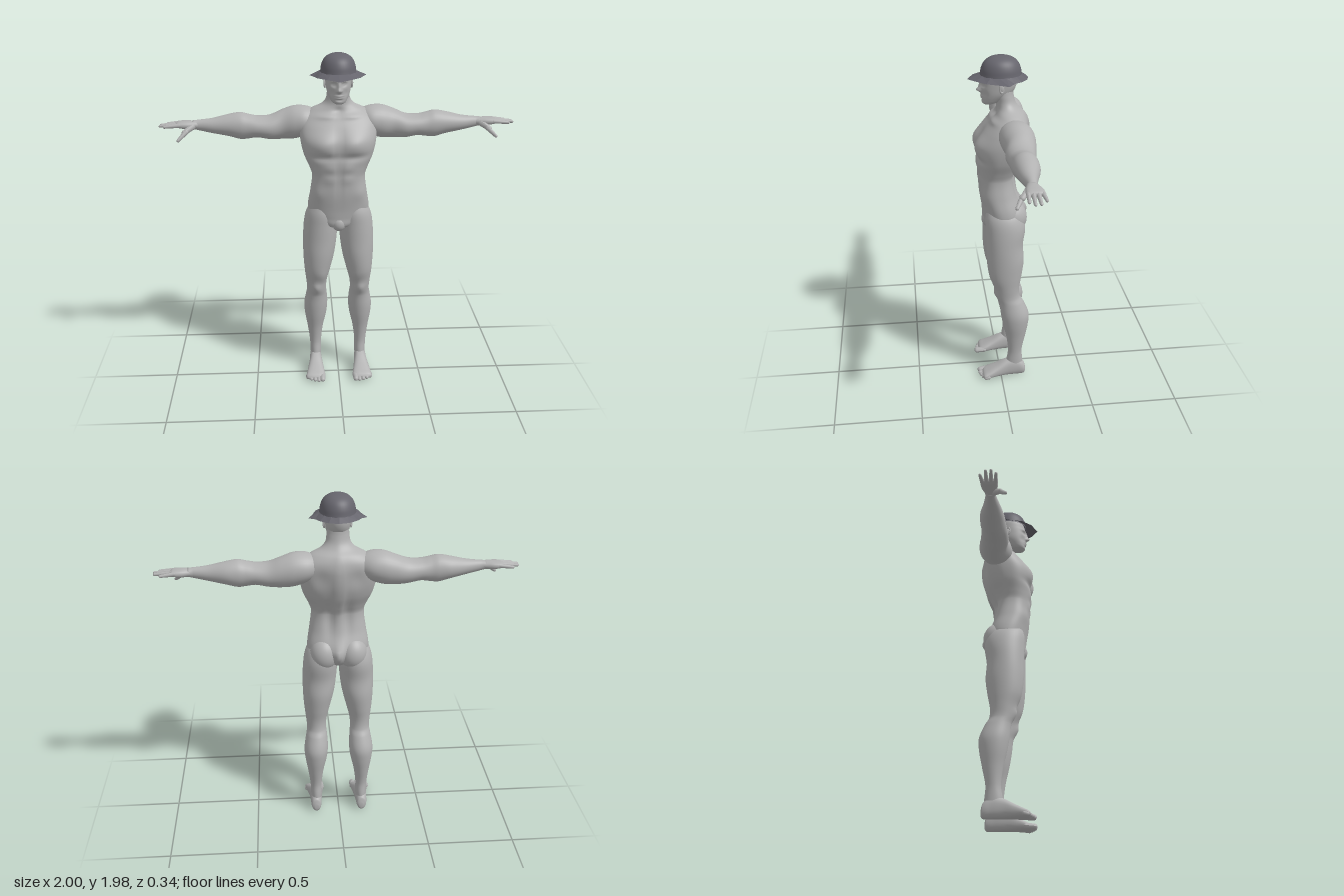
import * as THREE from 'three';

const skin = new THREE.MeshStandardMaterial({ color: 0xb2b2b2 });
skin.name = 'body grey';
const steel = new THREE.MeshStandardMaterial({ color: 0x66656d, side: THREE.DoubleSide });
steel.name = 'helmet grey';

// Axis maps from (u, t, v) to x, y, z; all keep the same handedness
const MAP = {
  y: (u, t, v) => [u, t, v],
  x: (u, t, v) => [t, v, u],
  z: (u, t, v) => [v, u, t],
};

// Smooth loft. Station: [t, uMin, uMax, vMin, vMax, squareness]
// Bumps: [|x|, y, height, spreadX, spreadY] on the front or back of a y loft
function loft(axis, stations, { seg = 32, sub = 5, front = [], back = [] } = {}) {
  const pos = [], idx = [], n = stations.length;
  const at = (i) => stations[Math.min(n - 1, Math.max(0, i))];
  const rings = (n - 1) * sub + 1;
  for (let r = 0; r < rings; r++) {
    const i = Math.min(n - 2, Math.floor(r / sub)), f = r / sub - i;
    const [t, u0, u1, v0, v1, p] = [0, 1, 2, 3, 4, 5].map((k) => {
      const [a, b, c, d] = [-1, 0, 1, 2].map((o) => at(i + o)[k] ?? 2);
      if (k === 0) return b + (c - b) * f;
      const h = c - b;
      const m0 = (at(i + 1)[0] - at(i - 1)[0]), m1 = (at(i + 2)[0] - at(i)[0]);
      const w = at(i + 1)[0] - at(i)[0];
      const s0 = ((c - a) / m0) * w, s1 = ((d - b) / m1) * w;
      return b + f * s0 + f * f * (3 * h - 2 * s0 - s1) + f * f * f * (s0 + s1 - 2 * h);
    });
    for (let j = 0; j < seg; j++) {
      const a = (j / seg) * Math.PI * 2, c = Math.cos(a), s = Math.sin(a);
      const u = (u0 + u1) / 2 + ((u1 - u0) / 2) * Math.sign(c) * Math.abs(c) ** (2 / p);
      let v = (v0 + v1) / 2 + ((v1 - v0) / 2) * Math.sign(s) * Math.abs(s) ** (2 / p);
      for (const [bx, by, h, sx, sy] of s > 0 ? front : back) {
        const g = Math.exp(-(((Math.abs(u) - bx) / sx) ** 2) - ((t - by) / sy) ** 2);
        v += h * g * s;
      }
      pos.push(...MAP[axis](u, t, v));
    }
  }
  for (let r = 0; r < rings - 1; r++) for (let j = 0; j < seg; j++) {
    const a = r * seg + j, b = r * seg + ((j + 1) % seg);
    idx.push(a, a + seg, b, b, a + seg, b + seg);
  }
  // End caps
  for (const [row, end] of [[0, at(0)], [rings - 1, at(n - 1)]]) {
    const centre = pos.length / 3;
    pos.push(...MAP[axis]((end[1] + end[2]) / 2, end[0], (end[3] + end[4]) / 2));
    for (let j = 0; j < seg; j++) {
      const a = row * seg + j, b = row * seg + ((j + 1) % seg);
      idx.push(centre, ...(row ? [b, a] : [a, b]));
    }
  }
  const g = new THREE.BufferGeometry();
  g.setAttribute('position', new THREE.Float32BufferAttribute(pos, 3));
  g.setIndex(idx);
  g.computeVertexNormals();
  return g;
}

// Tapered rounded finger or toe from a to b
function digit(a, b, r0, r1) {
  const A = new THREE.Vector3(...a), B = new THREE.Vector3(...b), d = B.clone().sub(A);
  const len = d.length(), g = new THREE.CapsuleGeometry(1, 1, 4, 10);
  const p = g.attributes.position;
  for (let i = 0; i < p.count; i++) {
    const y = p.getY(i), r = y > 0 ? r1 : r0;
    p.setXYZ(i, p.getX(i) * r, y > 0 ? len / 2 + (y - 0.5) * r - r1 : -len / 2 + (y + 0.5) * r, p.getZ(i) * r);
  }
  g.applyQuaternion(new THREE.Quaternion().setFromUnitVectors(new THREE.Vector3(0, 1, 0), d.normalize()));
  g.translate(...A.add(B).multiplyScalar(0.5).toArray());
  g.computeVertexNormals();
  return g;
}

function mirrored(geo) {
  const g = geo.clone(), p = g.attributes.position, ix = g.index.array;
  for (let i = 0; i < p.count; i++) p.setX(i, -p.getX(i));
  for (let i = 0; i < ix.length; i += 3) [ix[i], ix[i + 1]] = [ix[i + 1], ix[i]];
  g.computeVertexNormals();
  return g;
}

const sym = (list) => list.map(([y, r, zb, zf, p = 2]) => [y, -r, r, zb, zf, p]);

export function createModel() {
  const model = new THREE.Group();
  const add = (name, geo, mat = skin) => {
    const m = new THREE.Mesh(geo, mat);
    m.name = name;
    model.add(m);
  };
  const pair = (name, geo) => { add(name + 'Left', geo); add(name + 'Right', mirrored(geo)); };

  // Torso and neck, with muscle relief
  add('torso', loft('y', sym([
    [0.975, 0.03, -0.06, 0.05], [1.0, 0.1, -0.1, 0.085], [1.05, 0.165, -0.13, 0.09],
    [1.1, 0.176, -0.135, 0.095, 2.2], [1.2, 0.161, -0.1, 0.11, 2.4], [1.3, 0.15, -0.085, 0.115, 2.4],
    [1.35, 0.165, -0.1, 0.12, 2.4], [1.42, 0.195, -0.13, 0.125, 2.5], [1.5, 0.213, -0.155, 0.122, 2.5],
    [1.57, 0.215, -0.165, 0.085, 2.4], [1.62, 0.2, -0.16, 0.05, 2.2], [1.66, 0.155, -0.142, 0.022],
    [1.69, 0.095, -0.112, 0.012], [1.72, 0.069, -0.093, 0.013], [1.76, 0.062, -0.083, 0.02], [1.8, 0.06, -0.08, 0.03],
  ]), {
    seg: 64, sub: 7,
    front: [[0.09, 1.5, 0.02, 0.07, 0.06], [0, 1.5, -0.01, 0.025, 0.08], [0.09, 1.42, -0.012, 0.09, 0.02],
      [0, 1.3, -0.007, 0.012, 0.12], [0.05, 1.36, 0.006, 0.035, 0.025], [0.05, 1.29, 0.006, 0.035, 0.025],
      [0.13, 1.2, 0.008, 0.04, 0.04], [0, 1.66, -0.012, 0.025, 0.02], [0.08, 1.635, 0.01, 0.06, 0.014]],
    back: [[0, 1.42, 0.018, 0.025, 0.2], [0.1, 1.54, -0.014, 0.05, 0.06], [0.05, 1.27, -0.014, 0.03, 0.1],
      [0, 1.06, 0.03, 0.025, 0.06]],
  }));
  add('groin', new THREE.SphereGeometry(0.04, 24, 16).scale(1, 1.15, 0.9).translate(0, 1.015, 0.062));
  pair('buttock', new THREE.SphereGeometry(1, 32, 24).scale(0.082, 0.1, 0.088).translate(0.083, 1.06, -0.066));

  // Legs
  pair('leg', loft('y', [
    [1.13, 0.04, 0.15, -0.09, 0.07], [1.07, 0.01, 0.184, -0.13, 0.085], [1.0, 0.004, 0.2, -0.143, 0.085],
    [0.9, 0.01, 0.206, -0.13, 0.082], [0.8, 0.024, 0.206, -0.135, 0.08], [0.7, 0.048, 0.2, -0.122, 0.066],
    [0.62, 0.068, 0.191, -0.108, 0.036], [0.56, 0.072, 0.186, -0.112, 0.023], [0.52, 0.068, 0.192, -0.135, 0.01],
    [0.44, 0.064, 0.205, -0.166, 0], [0.37, 0.072, 0.201, -0.163, -0.012], [0.28, 0.092, 0.186, -0.146, -0.032],
    [0.18, 0.104, 0.173, -0.127, -0.044], [0.11, 0.104, 0.17, -0.132, -0.035], [0.05, 0.108, 0.168, -0.135, -0.03],
  ].reverse(), { seg: 36, front: [[0.13, 0.585, 0.012, 0.03, 0.03], [0.085, 0.66, 0.008, 0.03, 0.04]] }));
  pair('foot', loft('z', [
    [-0.15, 0.015, 0.05, 0.125, 0.15], [-0.14, 0.002, 0.085, 0.112, 0.167], [-0.09, 0, 0.12, 0.105, 0.173, 2.3],
    [-0.03, 0, 0.108, 0.1, 0.177, 2.4], [0.03, 0, 0.076, 0.092, 0.188, 2.5], [0.08, 0, 0.05, 0.085, 0.198, 2.5],
    [0.105, 0.002, 0.036, 0.088, 0.198, 2.5], [0.115, 0.01, 0.024, 0.1, 0.18],
  ], { seg: 28 }));
  for (let i = 0; i < 5; i++) {
    const x = 0.1 + i * 0.0225, r = i ? 0.0115 : 0.016;
    pair('toe' + (i + 1), digit([x, r + 0.006, 0.08], [x + 0.002, r, 0.142 - i * i * 0.0022], r + 0.002, r));
  }

  // Arms, built along x
  pair('arm', loft('x', [
    [0.1, -0.12, -0.04, 1.55, 1.64], [0.17, -0.16, 0.015, 1.51, 1.67], [0.24, -0.17, 0.015, 1.488, 1.674],
    [0.31, -0.164, 0.0, 1.484, 1.652], [0.38, -0.152, 0.008, 1.486, 1.624], [0.45, -0.143, 0.005, 1.498, 1.62],
    [0.5, -0.14, 0, 1.492, 1.63], [0.545, -0.142, -0.002, 1.488, 1.64], [0.61, -0.138, -0.01, 1.505, 1.63],
    [0.7, -0.113, -0.026, 1.524, 1.61], [0.78, -0.096, -0.042, 1.542, 1.601], [0.81, -0.098, -0.038, 1.55, 1.598],
  ], { seg: 32 }));
  pair('palm', loft('x', [
    [0.77, -0.09, -0.045, 1.55, 1.595], [0.81, -0.1, -0.034, 1.55, 1.597], [0.85, -0.112, -0.026, 1.553, 1.596, 2.5],
    [0.89, -0.114, -0.026, 1.56, 1.592, 2.6], [0.905, -0.105, -0.034, 1.567, 1.585],
  ], { seg: 24 }));
  [[-0.036, -0.028, 0.972], [-0.059, -0.052, 0.998], [-0.082, -0.08, 0.995], [-0.103, -0.112, 0.962]].forEach(
    ([z0, z1, x], i) => pair('finger' + (i + 1), digit([0.88, 1.577, z0], [x, 1.57, z1], 0.0125, 0.008)));
  pair('thumbBase', digit([0.805, 1.572, -0.055], [0.865, 1.535, -0.005], 0.02, 0.014));
  pair('thumb', digit([0.845, 1.545, -0.015], [0.893, 1.5, 0.02], 0.014, 0.009));

  // Head with face relief
  add('head', loft('y', sym([
    [1.712, 0.02, 0.03, 0.078], [1.722, 0.038, 0.0, 0.089], [1.745, 0.052, -0.035, 0.092, 2.1],
    [1.775, 0.064, -0.075, 0.094, 2.1], [1.81, 0.07, -0.096, 0.095, 2.1], [1.85, 0.074, -0.104, 0.093],
    [1.89, 0.074, -0.1, 0.082], [1.92, 0.06, -0.08, 0.06], [1.94, 0.03, -0.05, 0.03],
  ]), {
    seg: 80, sub: 8,
    front: [[0, 1.792, 0.022, 0.011, 0.012], [0, 1.815, 0.012, 0.01, 0.022], [0.029, 1.823, -0.012, 0.015, 0.011],
      [0.028, 1.823, 0.006, 0.008, 0.005], [0.025, 1.842, 0.005, 0.025, 0.007], [0, 1.76, 0.007, 0.02, 0.004],
      [0, 1.75, 0.006, 0.017, 0.004], [0, 1.755, -0.004, 0.025, 0.002], [0, 1.738, -0.004, 0.02, 0.005],
      [0.04, 1.775, -0.006, 0.015, 0.02], [0.012, 1.788, 0.006, 0.006, 0.006]],
  }));
  pair('ear', new THREE.TorusGeometry(0.016, 0.005, 8, 20).scale(0.8, 1.45, 1)
    .rotateY(Math.PI / 2 + 0.3).translate(0.073, 1.815, -0.012));
  pair('earInner', new THREE.SphereGeometry(0.014, 14, 10).scale(0.4, 1.5, 0.9).translate(0.071, 1.813, -0.012));

  // Helmet dome, an oval lathe
  const dome = [[0.101, 1.868], [0.098, 1.885], [0.094, 1.91], [0.083, 1.938], [0.064, 1.959], [0.036, 1.972], [0, 1.976]];
  const domeGeo = new THREE.LatheGeometry(new THREE.SplineCurve(dome.map((p) => new THREE.Vector2(...p))).getPoints(18), 40);
  add('helmetDome', domeGeo.scale(1, 1, 1.14).translate(0, 0, -0.014), steel);

  // Helmet brim, pointed at the front and sides
  const half = [[0, 0.168, 1.852], [0.065, 0.132, 1.858], [0.115, 0.075, 1.856], [0.135, 0.01, 1.852], [0.158, -0.042, 1.85],
    [0.122, -0.075, 1.854], [0.1, -0.115, 1.856], [0.055, -0.15, 1.855], [0, -0.162, 1.854]];
  const rim = [...half, ...half.slice(1, -1).reverse().map(([x, z, y]) => [-x, z, y])];
  const verts = [];
  rim.forEach((o, i) => {
    const q = rim[(i + 1) % rim.length];
    const inner = ([x, z]) => {
      const a = Math.atan2(x, (z + 0.014) / 1.14);
      return [Math.sin(a) * 0.099, 1.878, Math.cos(a) * 0.113 - 0.014];
    };
    const O = [o[0], o[2], o[1]], Q = [q[0], q[2], q[1]], a = inner(o), b = inner(q);
    verts.push(...O, ...Q, ...a, ...a, ...Q, ...b);
  });
  const brim = new THREE.BufferGeometry();
  brim.setAttribute('position', new THREE.Float32BufferAttribute(verts, 3));
  brim.computeVertexNormals();
  add('helmetBrim', brim, steel);

  return model;
}
